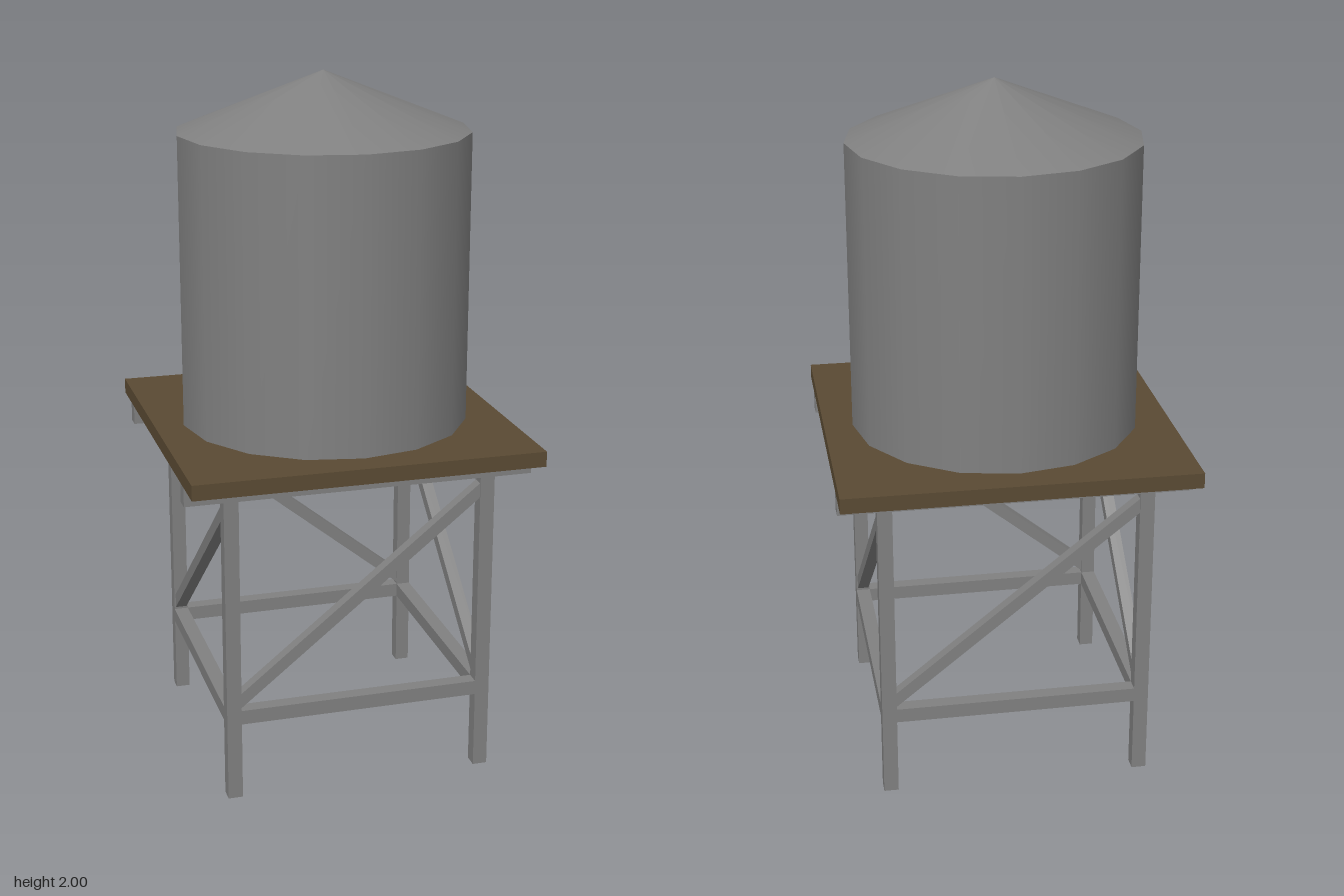
import * as THREE from 'three';

export function createModel() {
  const model = new THREE.Group();
  model.name = 'waterTower';

  const metal = new THREE.MeshStandardMaterial({ color: 0x808080 });
  metal.name = 'grey metal';
  const wood = new THREE.MeshStandardMaterial({ color: 0x5a4a33 });
  wood.name = 'brown wood';

  const add = (parent, name, geometry, material, x = 0, y = 0, z = 0) => {
    const mesh = new THREE.Mesh(geometry, material);
    mesh.name = name;
    mesh.position.set(x, y, z);
    parent.add(mesh);
    return mesh;
  };

  const legOffset = 0.37; // leg centre from the middle
  const legWidth = 0.042;
  const beamBottom = 0.9;
  const deckBottom = 0.956;
  const tankRadius = 0.417;
  const tankTop = 1.834;

  // Tank wall and conical roof
  const tankHeight = tankTop - 1;
  add(model, 'tank', new THREE.CylinderGeometry(tankRadius, tankRadius, tankHeight, 16), metal, 0, 1 + tankHeight / 2, 0);
  const roofHeight = 2 - tankTop;
  add(model, 'roof', new THREE.ConeGeometry(tankRadius, roofHeight, 16, 1, true), metal, 0, tankTop + roofHeight / 2, 0);

  // Wooden deck
  const deckThickness = 1 - deckBottom;
  add(model, 'deck', new THREE.BoxGeometry(1, deckThickness, 1), wood, 0, deckBottom + deckThickness / 2, 0);

  // Two beams running left to right under the deck
  const beamHeight = deckBottom - beamBottom;
  for (const side of [-1, 1]) {
    add(model, 'beam', new THREE.BoxGeometry(1, beamHeight, legWidth), metal, 0, beamBottom + beamHeight / 2, side * legOffset);
  }

  // Each side carries a leg, a level rail and one diagonal, turned a quarter each time
  const run = legOffset * 2;
  const rise = 0.595;
  for (let i = 0; i < 4; i++) {
    const frame = new THREE.Group();
    frame.name = 'sideFrame';
    frame.rotation.y = (i * Math.PI) / 2;
    add(frame, 'leg', new THREE.BoxGeometry(legWidth, beamBottom, legWidth), metal, legOffset, beamBottom / 2, legOffset);
    add(frame, 'rail', new THREE.BoxGeometry(run - legWidth, legWidth, legWidth), metal, 0, 0.25, legOffset);
    const brace = add(frame, 'diagonalBrace', new THREE.BoxGeometry(Math.hypot(run, rise) - 0.02, 0.034, 0.034), metal, 0, 0.58, legOffset);
    brace.rotation.z = Math.atan2(rise, run);
    model.add(frame);
  }

  return model;
}
